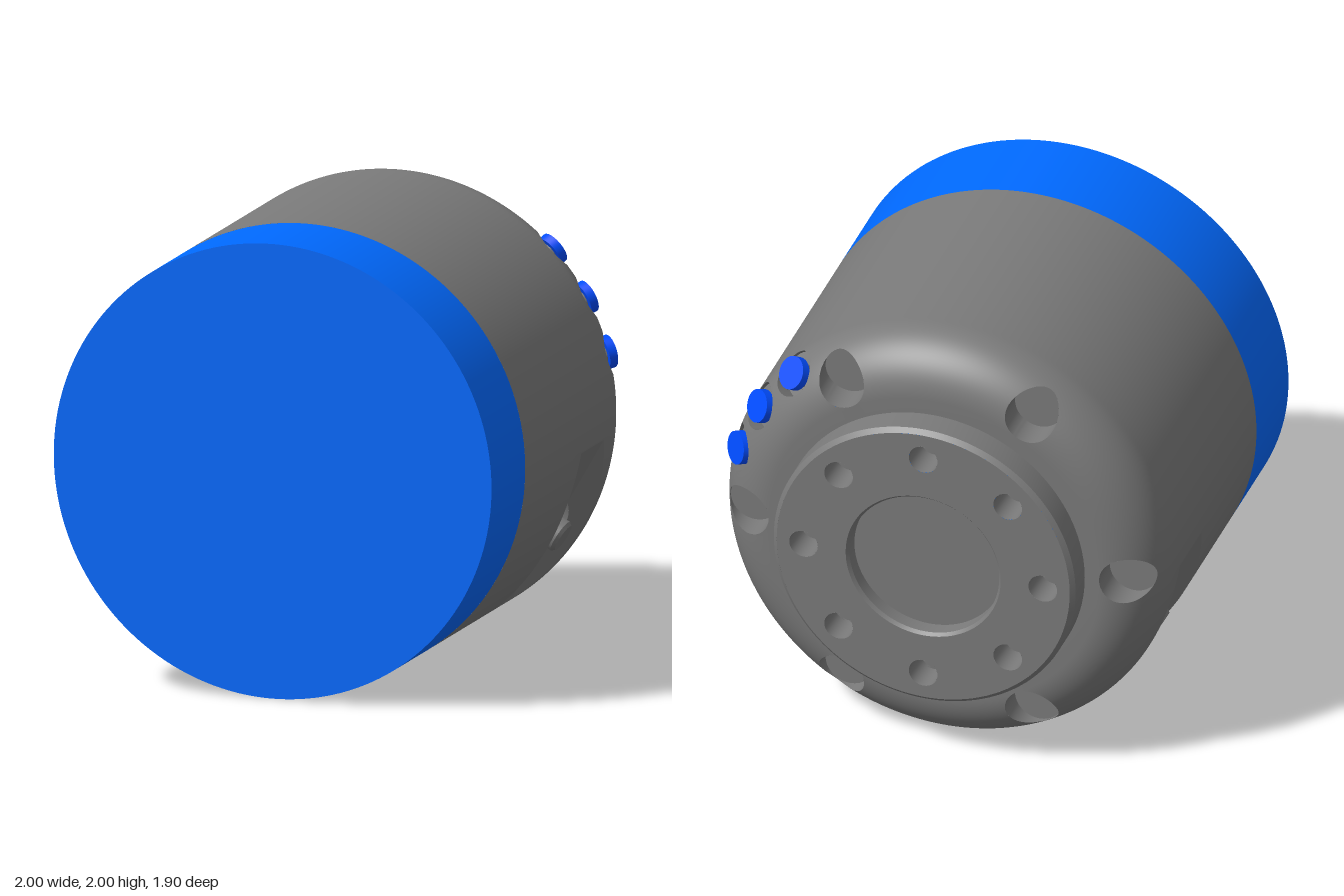
import * as THREE from 'three';
import { toCreasedNormals } from 'three/addons/utils/BufferGeometryUtils.js';

const grey = new THREE.MeshStandardMaterial({ color: 0x7a7a7a, side: THREE.DoubleSide });
const coverBlue = new THREE.MeshStandardMaterial({ color: 0x0069ff });
const buttonBlue = new THREE.MeshStandardMaterial({ color: 0x004cff });
const UP = new THREE.Vector3(0, 1, 0);
const rad = THREE.MathUtils.degToRad;
const V = (x, y, z) => new THREE.Vector3(x, y, z);

// Main dimensions; the housing axis is z
const FRONT = 0.95, SEAM = 0.53, BACK = -0.81, FLANGE = -0.95;
const FILLET = 0.25, FILLET_Z = BACK + FILLET, FILLET_R = 0.75;
const PORT_Z = -0.32, PORT_ANGLES = [-30, -90, -150].map(rad);
const POCKET = { floor: 0.905, inner: 0.14, outer: 0.22, limit: 0.24 };

// Height of a port pocket above the axis: flat floor with sloping sides
const pocketHeight = z => POCKET.floor + Math.max(0, Math.abs(z - PORT_Z) - POCKET.inner)
  * (1 - POCKET.floor) / (POCKET.outer - POCKET.inner);

// Shift the rows beside a pocket so that one follows its curved outline
function followOutline(z, c) {
  const { floor, inner, outer, limit } = POCKET;
  const u = Math.abs(z - PORT_Z);
  if (c <= floor || u <= inner || u >= limit) return z;
  const edge = inner + (outer - inner) * Math.max(0.02, (c - floor) / (1 - floor));
  const v = u < outer
    ? THREE.MathUtils.mapLinear(u, inner, outer, inner, edge)
    : THREE.MathUtils.mapLinear(u, outer, limit, edge, limit);
  return PORT_Z + Math.sign(z - PORT_Z) * v;
}

function isInside(p) {
  const r = Math.hypot(p.x, p.y), d = FILLET_Z - p.z;
  if (d >= FILLET) return false;
  if (r > (d > 0 ? FILLET_R + Math.sqrt(FILLET * FILLET - d * d) : 1)) return false;
  return PORT_ANGLES.every(a => p.x * Math.cos(a) + p.y * Math.sin(a) <= pocketHeight(p.z));
}

// Point where a line leaves the housing
function exitPoint(start, dir) {
  let lo = -0.03, hi = 0.3;
  for (let i = 0; i < 26; i++) {
    const mid = (lo + hi) / 2;
    if (isInside(start.clone().addScaledVector(dir, mid))) lo = mid; else hi = mid;
  }
  return start.clone().addScaledVector(dir, lo);
}

// Round wells sunk into the housing: floor centre, axis, radius
const portWells = PORT_ANGLES.map(a => ({
  name: 'portWell', radius: 0.167, dir: V(Math.cos(a), Math.sin(a), 0),
  base: V(0.78 * Math.cos(a), 0.78 * Math.sin(a), PORT_Z)
}));
const buttonWells = [15, 30, 45].map(rad).map(a => {
  const k = Math.SQRT1_2, r = FILLET_R + k * 0.232;
  return {
    name: 'buttonWell', radius: 0.104, dir: V(k * Math.cos(a), k * Math.sin(a), -k),
    base: V(r * Math.cos(a), r * Math.sin(a), FILLET_Z - k * 0.108)
  };
});
const screwWells = [0, 60, 120, 180, 240, 300].map(rad).map(a => ({
  name: 'screwWell', radius: 0.11, dir: V(0, 0, -1),
  base: V(0.86 * Math.cos(a), 0.86 * Math.sin(a), -0.67)
}));
const wells = [...portWells, ...buttonWells, ...screwWells];

function surface(positions, indices) {
  const g = new THREE.BufferGeometry();
  g.setAttribute('position', new THREE.Float32BufferAttribute(positions, 3));
  g.setIndex(indices);
  return toCreasedNormals(g, 0.35);
}

// Revolved skin, flattened at the pockets and opened at the wells
function housingGeometry() {
  const profile = [[1, SEAM], [1, 0.25], [1, 0]];
  for (let i = 0; i <= 26; i++) profile.push([1, -0.02 - 0.02 * i]);
  for (let i = 0; i <= 24; i++) {
    const t = i / 24 * Math.PI / 2;
    profile.push([FILLET_R + FILLET * Math.cos(t), FILLET_Z - FILLET * Math.sin(t)]);
  }
  profile.push([0.6, BACK]);
  const cols = 444, pos = [], open = [], idx = [];
  for (const [r0, z0] of profile) {
    for (let j = 0; j < cols; j++) {
      const a = j / cols * Math.PI * 2;
      const c = Math.max(...PORT_ANGLES.map(pa => Math.cos(a - pa)));
      const z = followOutline(z0, c);
      const r = c > 0.5 ? Math.min(r0, pocketHeight(z) / c) : r0;
      let p = V(r * Math.cos(a), r * Math.sin(a), z), owner = -1;
      wells.forEach((w, k) => {
        const q = p.clone().sub(w.base), along = q.dot(w.dir);
        q.addScaledVector(w.dir, -along);
        if (owner < 0 && along > -0.1 && q.length() < w.radius) {
          // Slide the point out to the rim of the well
          if (q.length() > 1e-4) p = exitPoint(q.setLength(w.radius).add(w.base), w.dir);
          owner = k;
        }
      });
      pos.push(p.x, p.y, p.z);
      open.push(owner);
    }
  }
  const tri = (a, b, c) => {
    if (open[a] < 0 || open[a] !== open[b] || open[a] !== open[c]) idx.push(a, b, c);
  };
  for (let i = 0; i < profile.length - 1; i++) {
    for (let j = 0; j < cols; j++) {
      const a = i * cols + j, b = i * cols + (j + 1) % cols;
      tri(a, a + cols, b);
      tri(b, a + cols, b + cols);
    }
  }
  return surface(pos, idx);
}

// Wall and floor of a well, the wall trimmed to the housing skin
function wellGeometry({ base, dir, radius }) {
  const n = 64, pos = [], idx = [];
  const turn = new THREE.Quaternion().setFromUnitVectors(UP, dir);
  for (let i = 0; i < n; i++) {
    const a = i / n * Math.PI * 2;
    const foot = V(radius * Math.cos(a), 0, radius * Math.sin(a)).applyQuaternion(turn).add(base);
    const rim = exitPoint(foot, dir);
    pos.push(foot.x, foot.y, foot.z, rim.x, rim.y, rim.z);
    const f = 2 * i, g = 2 * ((i + 1) % n);
    idx.push(f, f + 1, g, g, f + 1, g + 1, f, g, 2 * n);
  }
  pos.push(base.x, base.y, base.z);
  return surface(pos, idx);
}

// Turned part from [radius, height]
const lathe = (points, segments) => toCreasedNormals(
  new THREE.LatheGeometry(points.map(p => new THREE.Vector2(...p)), segments), 0.35);

// Turned part lying along the housing axis, heights running to the back
const turned = (points, segments = 96) => lathe(points, segments).rotateX(-Math.PI / 2);

export function createModel() {
  const model = new THREE.Group();
  const axis = new THREE.Group();
  axis.name = 'sensorHead';
  axis.position.y = 1;
  model.add(axis);
  const add = (name, geometry, material = grey, parent = axis) => {
    const m = new THREE.Mesh(geometry, material);
    m.name = name;
    parent.add(m);
    return m;
  };
  // Group whose y axis points out of a well
  const stand = (name, well) => {
    const g = new THREE.Group();
    g.name = name;
    g.position.copy(well.base);
    g.quaternion.setFromUnitVectors(UP, well.dir);
    axis.add(g);
    return g;
  };
  const disc = (r, from, to, sides = 40) =>
    toCreasedNormals(new THREE.CylinderGeometry(r, r, to - from, sides).translate(0, (from + to) / 2, 0), 0.35);

  // Front cover and housing
  add('frontCover', new THREE.CylinderGeometry(1, 1, FRONT - SEAM, 160)
    .rotateX(Math.PI / 2).translate(0, 0, (FRONT + SEAM) / 2), coverBlue);
  add('housing', housingGeometry());
  wells.forEach(w => add(w.name, wellGeometry(w)));

  // Push buttons
  buttonWells.forEach(w => {
    const g = stand('button', w);
    add('buttonStem', disc(0.05, 0, 0.045), grey, g);
    add('buttonCap', disc(0.073, 0.045, 0.083), buttonBlue, g);
  });

  // Cable ports: hex nut, collar and chamfered plug
  portWells.forEach(w => {
    const g = stand('port', w);
    add('portNut', disc(0.12, 0, 0.1, 6), grey, g);
    add('portCollar', disc(0.087, 0.1, 0.15), grey, g);
    add('portPlug', lathe([[0.074, 0.15], [0.074, 0.2], [0.062, 0.215], [0, 0.215]], 40), grey, g);
  });

  // Mounting flange: chamfered edge, drilled face, shallow centre recess
  add('flangeEdge', turned([[0.685, 0.81], [0.685, 0.93], [0.665, 0.95]], 128));
  const face = new THREE.Shape().absarc(0, 0, 0.665, 0, Math.PI * 2);
  face.holes.push(new THREE.Path().absarc(0, 0, 0.352, 0, Math.PI * 2, true));
  for (let i = 0; i < 8; i++) {
    const a = i * Math.PI / 4, x = 0.543 * Math.cos(a), y = 0.543 * Math.sin(a);
    face.holes.push(new THREE.Path().absarc(x, y, 0.065, 0, Math.PI * 2, true));
    add('boltHole', turned([[0, 0.8], [0.065, 0.8], [0.065, 0.95]], 32)).position.set(x, y, 0);
  }
  add('flangeFace', new THREE.ShapeGeometry(face, 48).rotateY(Math.PI).translate(0, 0, FLANGE));
  add('centreRecess', turned([[0, 0.87], [0.34, 0.87], [0.34, 0.935], [0.352, 0.95]]));
  return model;
}
